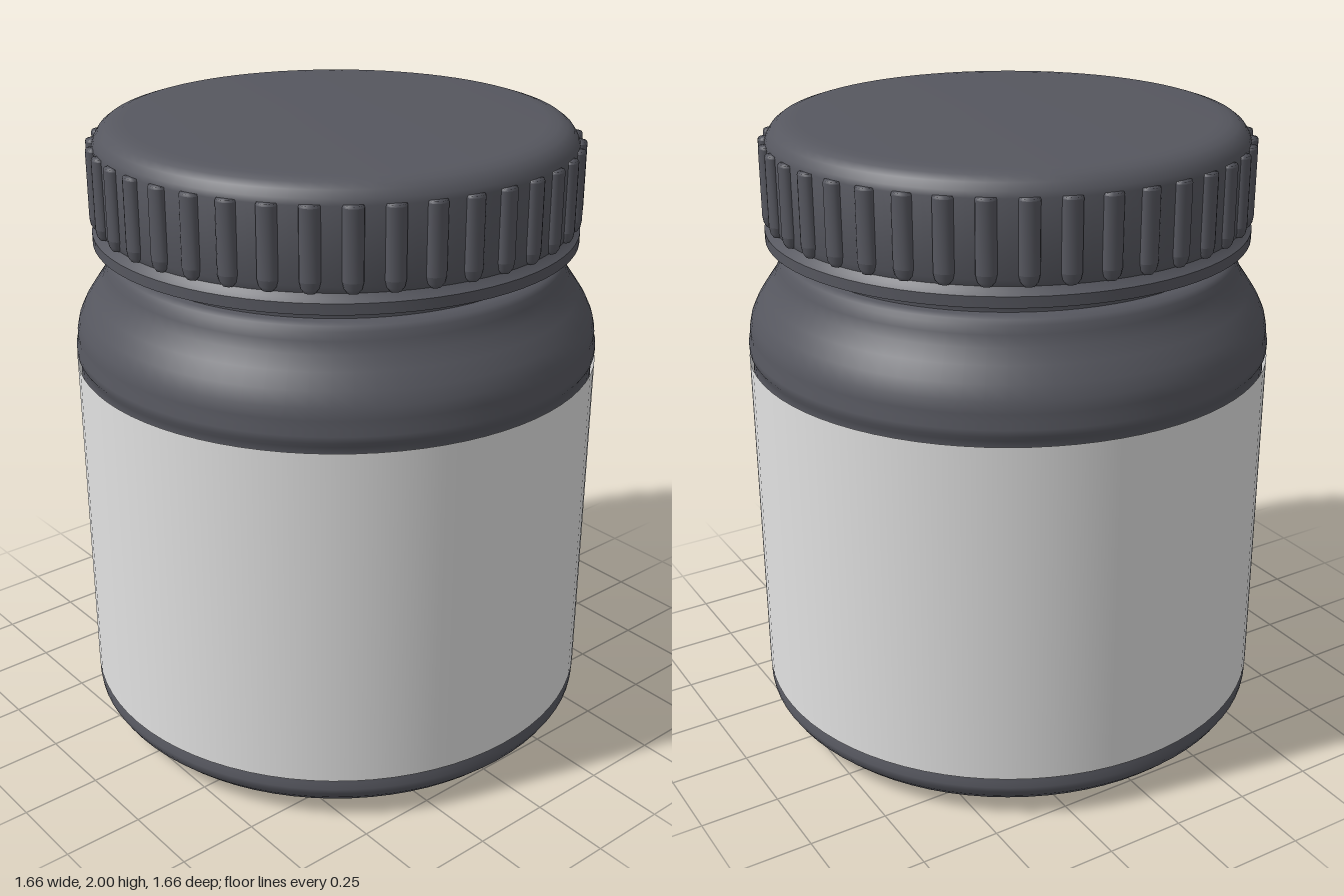
import * as THREE from 'three';
import { toCreasedNormals } from 'three/addons/utils/BufferGeometryUtils.js';

const SEGMENTS = 80;
const RIBS = 40;

// Revolve a profile of [radius, height] pairs, keeping hard edges sharp
function revolve(profile, segments = SEGMENTS) {
  const points = profile.map(([r, y]) => new THREE.Vector2(r, y));
  return toCreasedNormals(new THREE.LatheGeometry(points, segments), 0.7);
}

export function createModel() {
  const jar = new THREE.Group();
  jar.name = 'jar';

  const plastic = new THREE.MeshStandardMaterial({ color: 0x56575f });
  plastic.name = 'dark grey plastic';
  const paper = new THREE.MeshStandardMaterial({ color: 0xe2e2e2 });
  paper.name = 'pale label';
  paper.side = THREE.DoubleSide;

  const add = (parent, name, geometry, material) => {
    const mesh = new THREE.Mesh(geometry, material);
    mesh.name = name;
    parent.add(mesh);
    return mesh;
  };

  // Body: rounded base, recessed label panel, sloping shoulder, neck
  add(jar, 'body', revolve([
    [0, 0], [0.67, 0], [0.71, 0.006], [0.75, 0.022], [0.785, 0.045], [0.812, 0.072],
    [0.826, 0.095], [0.828, 0.112], [0.82, 0.13], [0.818, 0.15],
    [0.818, 1.25], [0.82, 1.27], [0.828, 1.285], [0.828, 1.305], [0.822, 1.325],
    [0.822, 1.35], [0.814, 1.385], [0.795, 1.425], [0.765, 1.47], [0.737, 1.51],
    [0.722, 1.545], [0.715, 1.57], [0.705, 1.583], [0.685, 1.59],
    [0.668, 1.592], [0.668, 1.61], [0.678, 1.625], [0.678, 1.66], [0, 1.66],
  ]), plastic);

  // Label wrapped round the body
  add(jar, 'label', new THREE.CylinderGeometry(0.829, 0.829, 1.11, SEGMENTS, 1, true), paper)
    .position.y = 0.7;

  // Lid: flange at the foot, straight wall, rounded top edge
  const lid = new THREE.Group();
  lid.name = 'lid';
  jar.add(lid);
  add(lid, 'cap', revolve([
    [0.66, 1.635], [0.757, 1.635], [0.757, 1.668], [0.745, 1.678], [0.735, 1.69],
    [0.742, 1.71], [0.742, 1.935], [0.736, 1.952], [0.722, 1.973], [0.702, 1.988],
    [0.675, 1.997], [0.64, 2], [0, 2],
  ]), plastic);

  // Grip ribs: flattened rods half sunk into the lid wall
  const rib = revolve([
    [0, 1.69], [0.5, 1.692], [0.85, 1.705], [1, 1.725], [1, 1.932], [0.92, 1.938], [0, 1.938],
  ], 16);
  rib.scale(0.03, 1, 0.022);
  rib.translate(0, 0, 0.741);
  for (let i = 0; i < RIBS; i++) {
    add(lid, 'gripRib', rib, plastic).rotation.y = (i / RIBS) * Math.PI * 2;
  }

  return jar;
}
